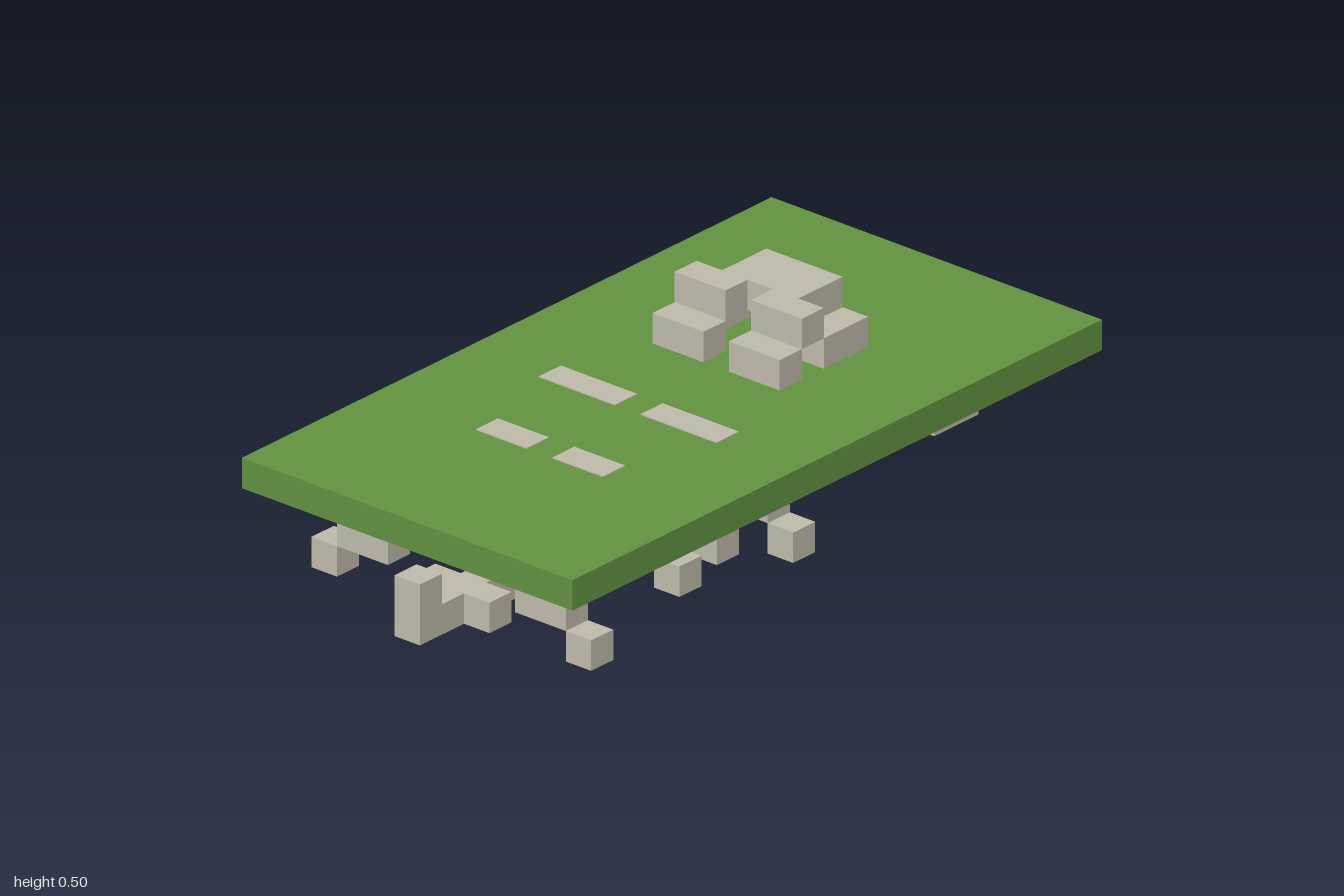
import * as THREE from 'three';

const U = 1 / 12; // one cell

export function createModel() {
  const model = new THREE.Group();
  const bone = new THREE.MeshStandardMaterial({ color: 0xc0bbab });
  bone.name = 'bone';
  const grass = new THREE.MeshStandardMaterial({ color: 0x639341 });
  grass.name = 'grass';

  // Box over inclusive cell ranges: x is centred on 0, y from the ground, z from the back
  function block(name, [x0, x1], [y0, y1], [z0, z1], material = bone) {
    const size = [x1 - x0 + 1, y1 - y0 + 1, z1 - z0 + 1].map((n) => n * U);
    const mesh = new THREE.Mesh(new THREE.BoxGeometry(...size), material);
    mesh.position.set((x0 + x1) / 2 * U, (y0 + y1 + 1) / 2 * U, (z0 + z1 + 1) / 2 * U - 1);
    mesh.name = name;
    model.add(mesh);
  }
  function pair(name, [x0, x1], y, z) {
    block(name + 'Left', [x0, x1], y, z);
    block(name + 'Right', [-x1, -x0], y, z);
  }
  // Thin bone patch showing at the surface of the turf
  function patch(x0, x1, z) {
    for (const s of [-1, 1]) {
      const mesh = new THREE.Mesh(new THREE.BoxGeometry((x1 - x0 + 1) * U, 0.004, U), bone);
      mesh.position.set(s * (x0 + x1) / 2 * U, 4 * U + 0.001, (z + 0.5) * U - 1);
      mesh.name = 'surfacePatch';
      model.add(mesh);
    }
  }

  block('turf', [-6, 6], [3, 3], [0, 23], grass);

  // Spine, stepping up towards the skull, with upright spurs
  block('spine', [0, 0], [0, 0], [11, 23]);
  block('neck', [0, 0], [1, 1], [8, 11]);
  block('neckSpur', [0, 0], [2, 2], [10, 10]);
  block('neckUnderSpur', [0, 0], [0, 0], [9, 9]);
  for (const z of [15, 19, 23]) block('spineSpur', [0, 0], [1, 1], [z, z]);
  pair('vertebraFront', [1, 1], [0, 0], [21, 21]);
  pair('vertebraMiddle', [1, 1], [0, 0], [17, 17]);
  pair('vertebraRear', [1, 3], [0, 0], [13, 13]);

  // Stepped ribs: each [z, inner cells, middle cells, tip cell, tip layer]
  const ribs = [
    [21, [1, 2], [3, 4], 5, 0],
    [17, [1, 2], [3, 4], 5, 1],
    [13, [1, 3], [4, 5], 6, 1],
  ];
  for (const [z, inner, middle, tip, y] of ribs) {
    if (y === 0) pair('ribTop', inner, [2, 2], [z, z]);
    else patch(...inner, z);
    pair('ribMiddle', middle, [y + 1, y + 1], [z, z]);
    pair('ribTip', [tip, tip], [y, y], [z, z]);
  }

  // Skull above the turf
  block('skullCrown', [-1, 1], [5, 5], [6, 7]);
  pair('skullBrow', [1, 2], [5, 5], [8, 8]);
  pair('skullSide', [2, 2], [4, 4], [6, 7]);
  pair('skullFront', [1, 2], [4, 4], [9, 9]);

  // Skull below the turf
  block('skullBase', [-1, 1], [2, 2], [8, 8]);
  block('skullBaseCentre', [0, 0], [2, 2], [6, 7]);
  pair('skullBaseSide', [2, 2], [2, 2], [6, 7]);

  // Rear limbs with turned-up tips
  patch(1, 1, 5);
  pair('limbRoot', [1, 1], [1, 2], [5, 5]);
  pair('limbUpper', [2, 2], [2, 2], [4, 4]);
  pair('limbMiddle', [2, 2], [1, 1], [3, 4]);
  pair('limbLower', [2, 2], [0, 0], [1, 2]);
  pair('limbTip', [2, 2], [1, 1], [0, 0]);

  return model;
}
